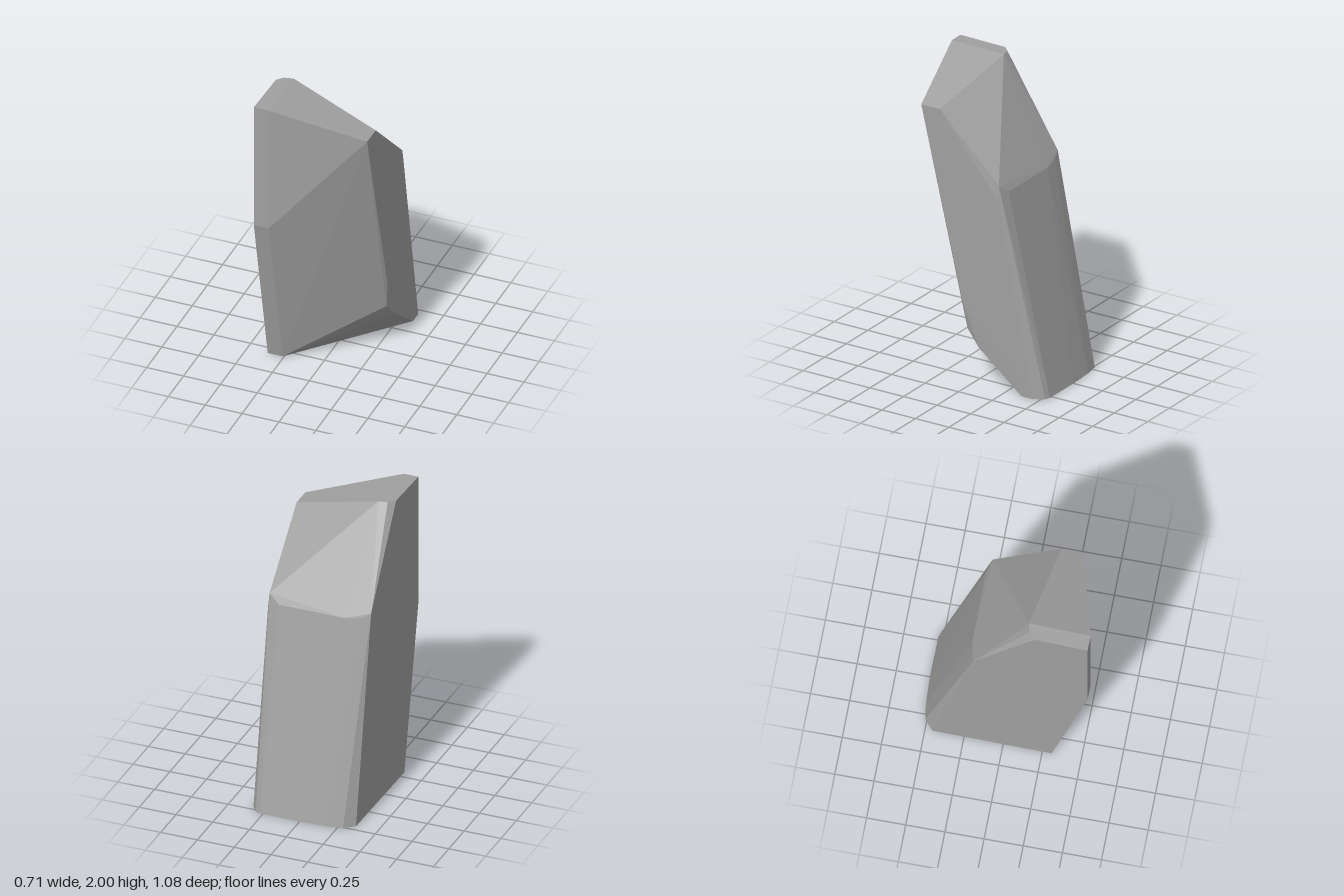
import * as THREE from 'three';
import { ConvexGeometry } from 'three/addons/geometries/ConvexGeometry.js';

export function createModel() {
  const group = new THREE.Group();
  group.name = 'rock';
  const stone = new THREE.MeshStandardMaterial({ color: 0xa0a0a0 });
  stone.name = 'grey stone';
  stone.flatShading = true;

  // Corners of the leaning stone slab, ring by ring
  const corners = [
    // slanted top
    [-0.36, 2, 0.54], [-0.26, 2, 0.54], [0.343, 1.82, 0.38], [0.343, 1.82, 0.24],
    [-0.25, 2, 0.146], [-0.31, 2, 0.158], [-0.35, 2, 0.2],
    // front bend
    [-0.36, 1.11, 0.54], [-0.26, 1.11, 0.54],
    // chamfered lower corner
    [0.335, 0.365, 0.04], [0.346, 0.26, -0.05], [0.352, 0.55, 0.065],
    // back ridge
    [0.343, 1.395, -0.2], [0.353, 1.3, -0.2], [0.27, 1.34, -0.227],
    [-0.18, 1.34, -0.227], [-0.28, 1.35, -0.215], [-0.345, 1.39, -0.195],
    // base
    [-0.36, 0, 0.31], [-0.26, 0, 0.31], [0.346, 0, -0.37], [0.346, 0, -0.455],
    [0.305, 0, -0.52], [0.27, 0, -0.533], [0, 0, -0.535], [-0.18, 0, -0.527],
    [-0.285, 0, -0.51], [-0.35, 0, -0.453],
  ].map((p) => new THREE.Vector3(...p));

  const body = new THREE.Mesh(new ConvexGeometry(corners), stone);
  body.name = 'stoneBody';
  group.add(body);
  return group;
}
